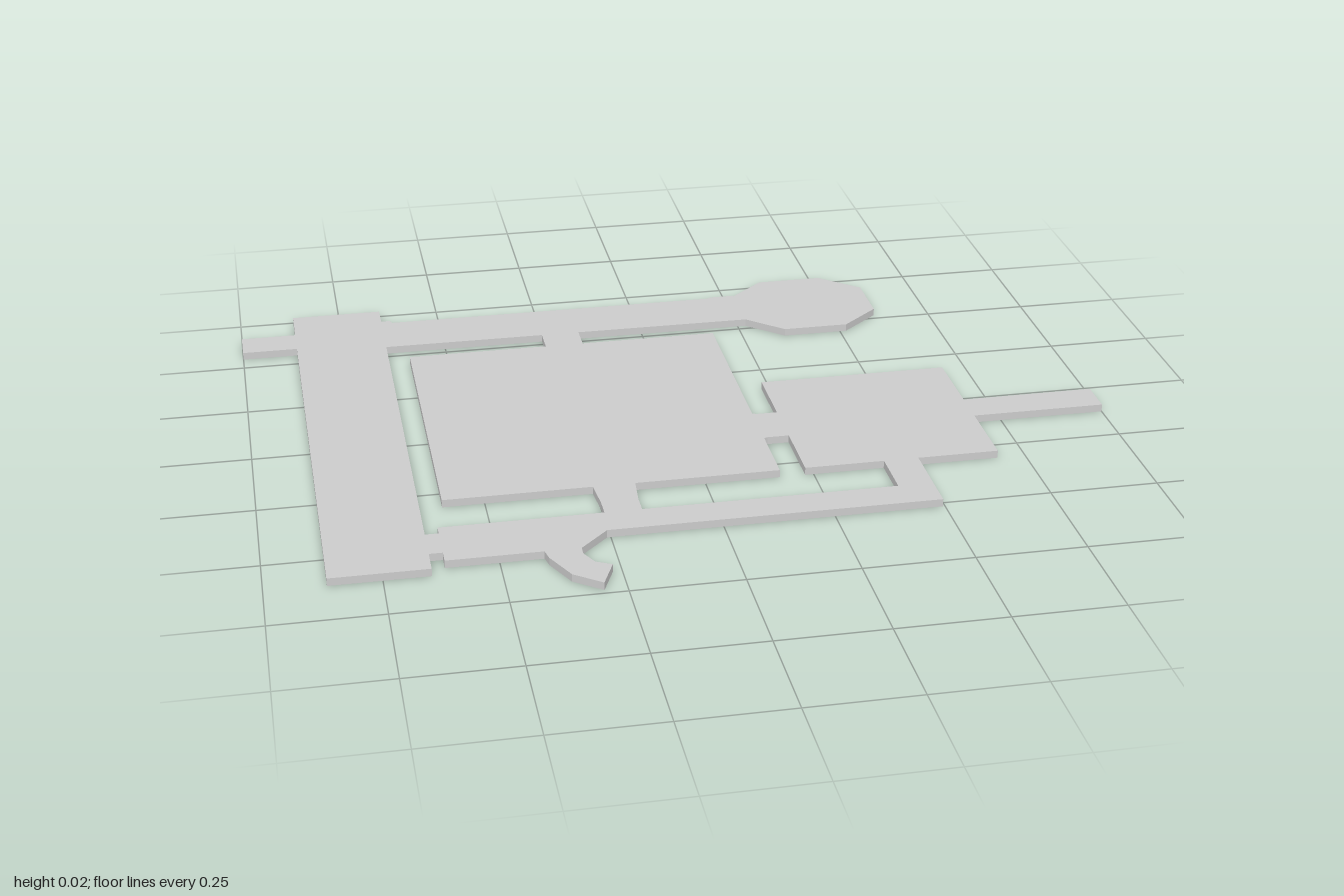
import * as THREE from 'three';

const THICKNESS = 0.018;

export function createModel() {
  const group = new THREE.Group();
  const material = new THREE.MeshStandardMaterial({ color: 0xcccccc, flatShading: true });

  // Flat slab from an outline of [x, z] corners
  const slab = (name, corners) => {
    const shape = new THREE.Shape(corners.map(([x, z]) => new THREE.Vector2(x, -z)));
    const geometry = new THREE.ExtrudeGeometry(shape, { depth: THICKNESS, bevelEnabled: false });
    geometry.rotateX(-Math.PI / 2);
    const mesh = new THREE.Mesh(geometry, material);
    mesh.name = name;
    group.add(mesh);
  };
  const room = (name, x0, x1, z0, z1) => slab(name, [[x0, z0], [x0, z1], [x1, z1], [x1, z0]]);

  // Rooms
  room('longHall', -0.867, -0.647, -0.741, 0.612);
  room('mainRoom', -0.595, 0.171, -0.449, 0.313);
  room('sideRoom', 0.23, 0.684, -0.144, 0.313);
  slab('octagonRoom', [
    [0.27, -0.666], [0.27, -0.516], [0.356, -0.438], [0.516, -0.438],
    [0.61, -0.519], [0.61, -0.66], [0.516, -0.743], [0.356, -0.743],
  ]);

  // Back corridor, slightly flared at the hall end
  slab('backCorridor', [
    [-0.647, -0.677], [-0.647, -0.519], [0.27, -0.516], [0.27, -0.67],
    [0.21, -0.67], [0.2, -0.664], [-0.62, -0.664], [-0.625, -0.677],
  ]);

  // Front corridor, wide at the hall end and narrowing by a diagonal
  slab('frontCorridor', [
    [-0.617, 0.436], [-0.617, 0.462], [-0.624, 0.462], [-0.624, 0.548], [-0.617, 0.548],
    [-0.617, 0.583], [-0.324, 0.583], [-0.258, 0.516], [0.495, 0.516], [0.495, 0.436],
  ]);

  // Doorways and links between rooms
  room('hallDoorway', -0.647, -0.624, 0.462, 0.548);
  room('backDoorway', -0.255, -0.162, -0.519, -0.449);
  room('cornerLink', 0.414, 0.495, 0.313, 0.436);
  slab('frontDoorway', [
    [-0.257, 0.313], [-0.251, 0.39], [-0.251, 0.436], [-0.167, 0.436], [-0.167, 0.39], [-0.161, 0.313],
  ]);
  slab('sideDoorway', [
    [0.171, 0.018], [0.171, 0.15], [0.18, 0.147], [0.23, 0.147], [0.23, 0.023], [0.18, 0.023],
  ]);

  // Outer passages
  room('leftEntry', -1, -0.867, -0.634, -0.55);
  room('rightEntry', 0.684, 1, 0.04, 0.128);
  slab('bentPassage', [
    [-0.404, 0.583], [-0.398, 0.612], [-0.361, 0.69], [-0.3, 0.737],
    [-0.27, 0.664], [-0.305, 0.646], [-0.324, 0.607], [-0.324, 0.583],
  ]);
  return group;
}
